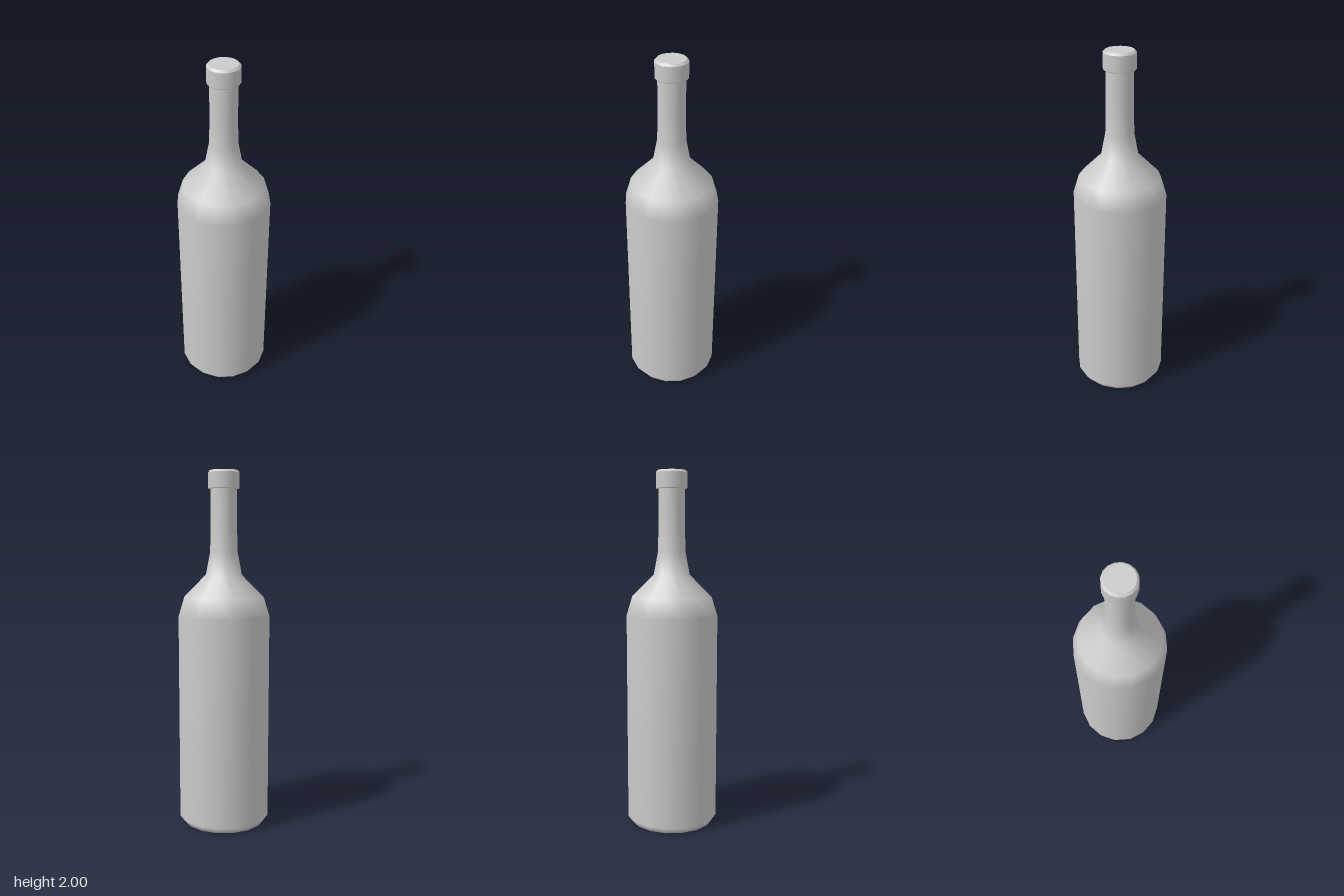
import * as THREE from 'three';

const SIDES = 16;

// Revolves a [radius, height] profile, listed from bottom to top
function turned(name, profile, material) {
  const points = profile.map(([r, y]) => new THREE.Vector2(r, y));
  const mesh = new THREE.Mesh(new THREE.LatheGeometry(points, SIDES), material);
  mesh.name = name;
  return mesh;
}

export function createModel() {
  const group = new THREE.Group();
  group.name = 'bottle';
  const glass = new THREE.MeshStandardMaterial({ color: 0xcccccc });

  // Base, straight body, shoulder and neck in one smooth surface
  group.add(turned('bottleBody', [
    [0, 0], [0.234, 0], [0.259, 0.035], [0.259, 1.2],
    [0.227, 1.305], [0.102, 1.43], [0.078, 1.555], [0.074, 1.7], [0.074, 1.91],
  ], glass));

  // Cap: each band is its own mesh so the rims stay sharp
  const cap = new THREE.Group();
  cap.name = 'cap';
  cap.add(
    turned('capUnderside', [[0.07, 1.9], [0.085, 1.9]], glass),
    turned('capSide', [[0.085, 1.9], [0.088, 1.905], [0.088, 1.988]], glass),
    turned('capBevel', [[0.088, 1.988], [0.077, 2]], glass),
    turned('capTop', [[0.077, 2], [0, 2]], glass),
  );
  group.add(cap);

  return group;
}
